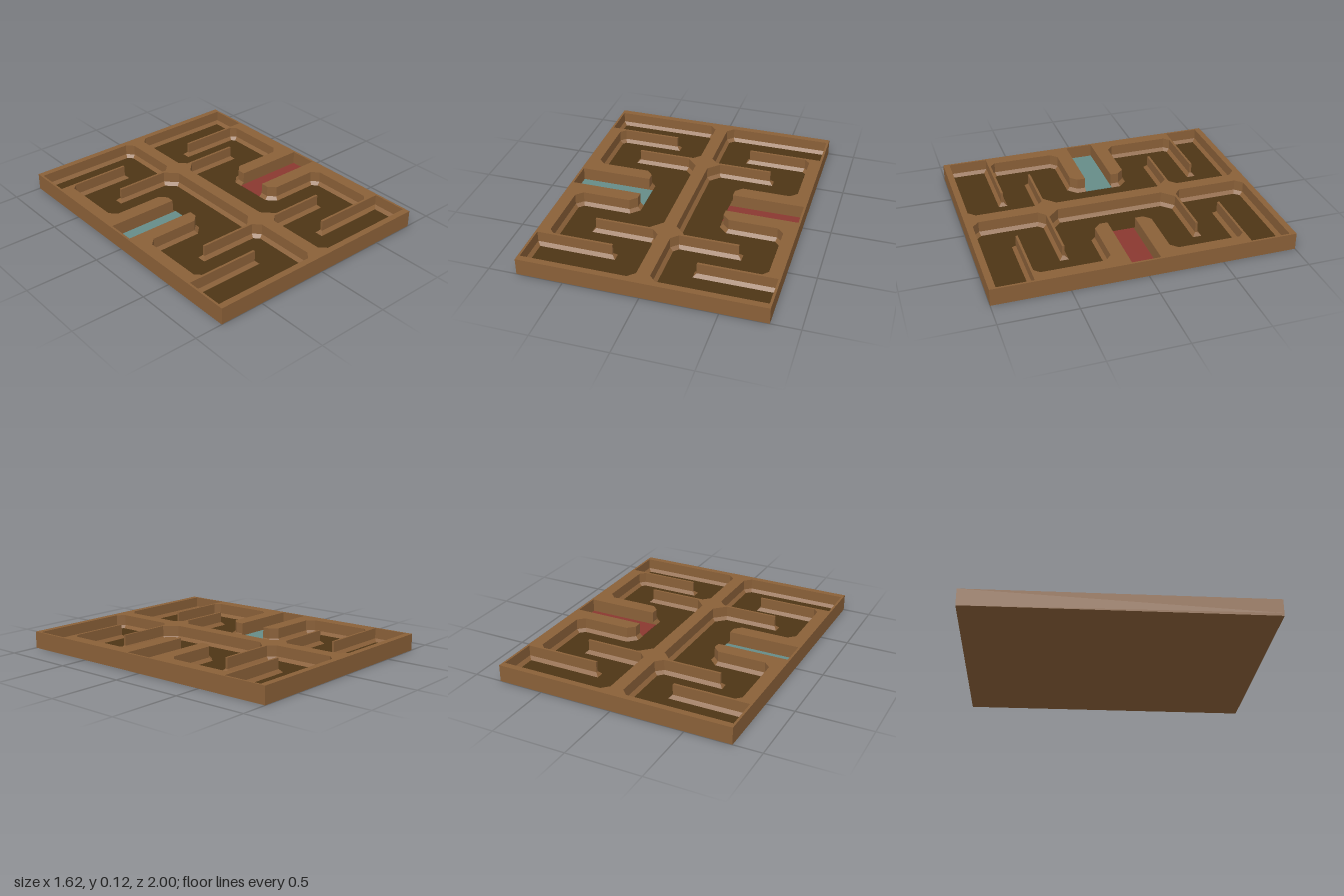
import * as THREE from 'three';

const W = 1.62, L = 2, TOP = 0.115, SKIRT_TOP = 0.042, FLOOR = 0.02, SKIRT = 0.022;

const mat = (color) => new THREE.MeshStandardMaterial({ color, flatShading: true });
const wood = mat(0x8a6038);
const dark = mat(0x4d3515);

// Wall outline of one channel, as [x, z], clockwise seen from above
const outline = [
  [-0.795, -0.957], [-0.09, -0.957], [-0.045, -0.912],
  // far inner divider
  [-0.045, -0.513], [-0.09, -0.468], [-0.487, -0.468], [-0.487, -0.452], [-0.12, -0.452], [-0.045, -0.375],
  // near inner divider
  [-0.045, 0.36], [-0.12, 0.435], [-0.487, 0.435], [-0.487, 0.451], [-0.09, 0.451], [-0.045, 0.496],
  [-0.045, 0.912], [-0.09, 0.957], [-0.795, 0.957],
  // near outer divider
  [-0.795, 0.692], [-0.282, 0.692], [-0.282, 0.676], [-0.69, 0.676], [-0.725, 0.641],
  // middle block, with the slot for the coloured strip
  [-0.725, 0.225], [-0.68, 0.18], [-0.35, 0.18], [-0.305, 0.135], [-0.305, 0.08],
  [-0.795, 0.08], [-0.795, -0.11], [-0.305, -0.11],
  [-0.305, -0.165], [-0.35, -0.21], [-0.68, -0.21], [-0.725, -0.255],
  // far outer divider
  [-0.725, -0.669], [-0.69, -0.704], [-0.282, -0.704], [-0.282, -0.72], [-0.795, -0.72],
].map(([x, z]) => new THREE.Vector2(x, z));

const SLOT_EDGES = [27, 28, 29]; // the slot walls have no skirting

// Moves each edge inward by its own width and intersects neighbouring edges
function inset(pts) {
  const n = pts.length;
  const edges = pts.map((p, i) => {
    const d = pts[(i + 1) % n].clone().sub(p).normalize();
    const w = SLOT_EDGES.includes(i) ? 0 : SKIRT;
    return { d, o: new THREE.Vector2(p.x - d.y * w, p.y + d.x * w) };
  });
  return edges.map((e, i) => {
    const a = edges[(i + n - 1) % n];
    const t = e.o.clone().sub(a.o).cross(e.d) / a.d.cross(e.d);
    return a.o.clone().addScaledVector(a.d, t);
  });
}

// Extrudes an [x, z] shape downward from the given height
function slab(shape, top, depth) {
  const g = new THREE.ExtrudeGeometry(shape, { depth, bevelEnabled: false });
  return g.rotateX(Math.PI / 2).translate(0, top, 0);
}

// Sloped strip joining the foot of the walls to the floor
function skirting(upper, lower) {
  const pos = [];
  upper.forEach((a, i) => {
    const j = (i + 1) % upper.length;
    const A = [a.x, SKIRT_TOP, a.y], B = [upper[j].x, SKIRT_TOP, upper[j].y];
    const D = [lower[i].x, FLOOR, lower[i].y], C = [lower[j].x, FLOOR, lower[j].y];
    pos.push(...A, ...D, ...C, ...A, ...C, ...B);
  });
  const g = new THREE.BufferGeometry();
  g.setAttribute('position', new THREE.Float32BufferAttribute(pos, 3));
  g.computeVertexNormals();
  return g;
}

export function createModel() {
  const root = new THREE.Group();
  root.name = 'mazeTray';
  const add = (parent, name, geometry, material) => {
    const m = new THREE.Mesh(geometry, material);
    m.name = name;
    parent.add(m);
    return m;
  };

  // Baseboard
  add(root, 'baseboard', new THREE.BoxGeometry(W, FLOOR, L).translate(0, FLOOR / 2, 0), wood);

  // Walls: a solid slab with the two channels cut out
  const frame = new THREE.Shape([[-1, -1], [1, -1], [1, 1], [-1, 1]].map(
    ([x, z]) => new THREE.Vector2(x * W / 2, z * L / 2)));
  frame.holes.push(new THREE.Path(outline));
  frame.holes.push(new THREE.Path(outline.map((p) => p.clone().negate())));
  add(root, 'walls', slab(frame, TOP, TOP - FLOOR), wood);

  // Channel contents; the second is the first turned half round
  const inner = inset(outline);
  [['right', 0x668c88, 0], ['left', 0x8a3830, Math.PI]].forEach(([side, color, turn]) => {
    const channel = new THREE.Group();
    channel.name = side + 'Channel';
    channel.rotation.y = turn;
    add(channel, 'skirting', skirting(outline, inner), wood);
    add(channel, 'floor', slab(new THREE.Shape(inner), FLOOR + 0.001, 0.003), dark);
    add(channel, 'colouredStrip',
      new THREE.BoxGeometry(0.512, 0.006, 0.19).translate(-0.539, FLOOR + 0.002, -0.015), mat(color));
    root.add(channel);
  });
  return root;
}
